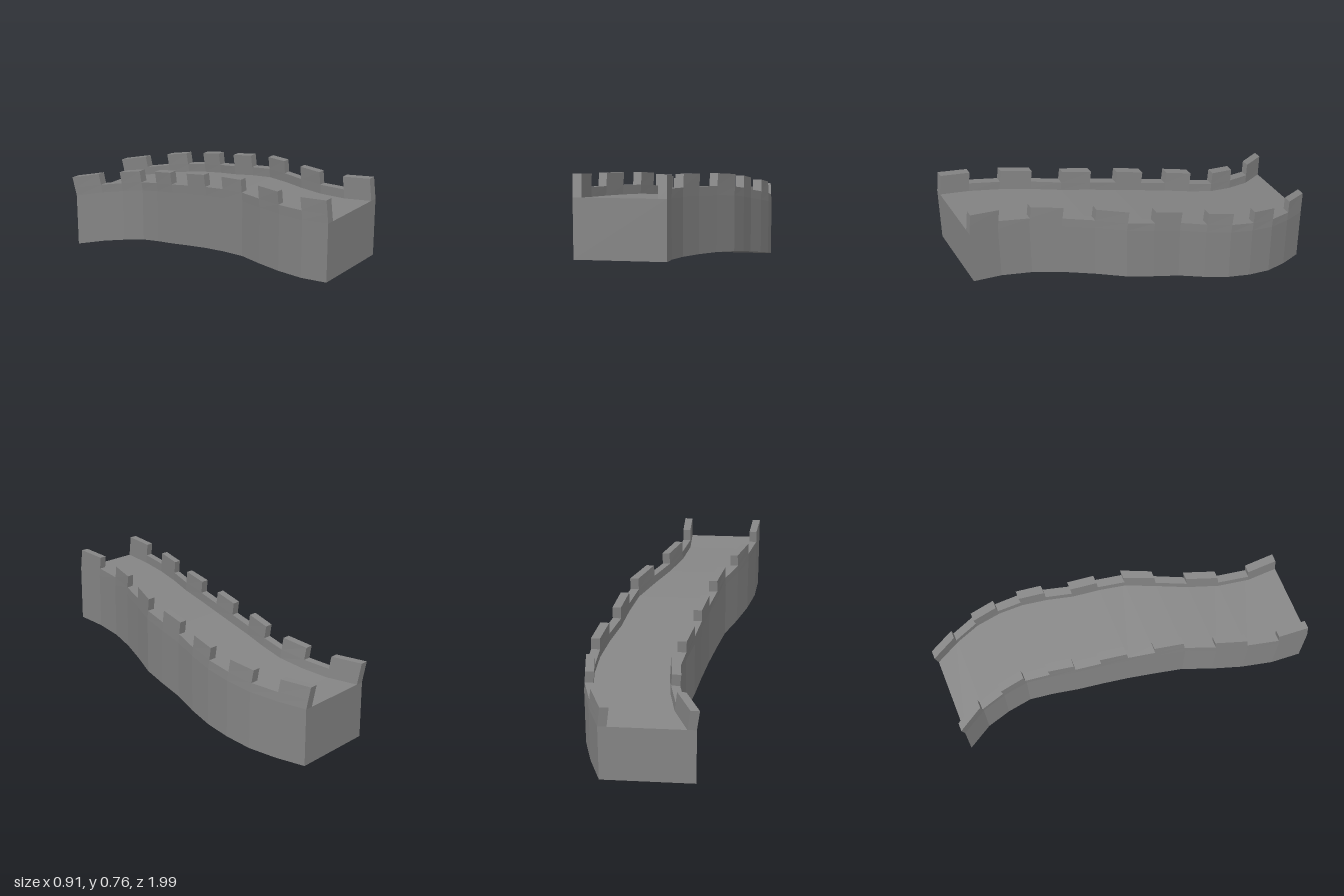
import * as THREE from 'three';

// Stations along the winding wall: [z, left edge x, right edge x, underside y]
const stations = [
  [0.995, -0.455, 0.025, 0.325], [0.83, -0.438, 0.025, 0.305], [0.66, -0.394, 0.06, 0.288],
  [0.495, -0.335, 0.125, 0.272], [0.335, -0.267, 0.205, 0.255], [0.175, -0.225, 0.288, 0.232],
  [0.025, -0.186, 0.328, 0.205], [-0.125, -0.152, 0.358, 0.175], [-0.27, -0.122, 0.408, 0.145],
  [-0.415, -0.084, 0.443, 0.115], [-0.555, -0.056, 0.453, 0.086], [-0.7, -0.07, 0.441, 0.056],
  [-0.84, -0.103, 0.397, 0.028], [-0.985, -0.182, 0.332, 0.0],
];
const FLOOR = 0.32, RAIL = 0.37, TOP = 0.44;
const THICK = 0.095; // parapet thickness as a fraction of the wall width

// Point at station i, fraction f across the width, height h above the underside.
// Above the walkway the parapet leans with the slope and into the bend.
function point(i, f, h) {
  const [z, left, right, y] = stations[i];
  const a = stations[Math.max(i - 1, 0)];
  const b = stations[Math.min(i + 1, stations.length - 1)];
  const up = Math.max(h - FLOOR, 0);
  const slant = (b[2] - a[2]) / (a[0] - b[0]);
  const roll = 0.08 * i / (stations.length - 1);
  const x = left + (right - left) * f + up * (0.12 * slant - roll);
  return [x, y + h, z - 0.12 * up];
}

// Capped loft of a four-corner section [f, h] between two stations
function loft(section, from, to) {
  const pos = [];
  const quad = (a, b, c, d) => pos.push(...a, ...b, ...c, ...a, ...c, ...d);
  const ring = i => section.map(([f, h]) => point(i, f, h));
  for (let i = from; i < to; i++) {
    const p = ring(i), q = ring(i + 1);
    for (let k = 0; k < 4; k++) {
      const n = (k + 1) % 4;
      quad(p[k], q[k], q[n], p[n]);
    }
  }
  quad(...ring(from));
  quad(...ring(to).reverse());
  const g = new THREE.BufferGeometry();
  g.setAttribute('position', new THREE.Float32BufferAttribute(pos, 3));
  g.computeVertexNormals();
  return g;
}

const box = (f0, f1, h0, h1) => [[f0, h0], [f1, h0], [f1, h1], [f0, h1]];

export function createModel() {
  const group = new THREE.Group();
  group.name = 'windingBattlementWall';
  const stone = new THREE.MeshStandardMaterial({ color: 0x848484 });
  stone.name = 'grey stone';
  const add = (name, geometry) => {
    const mesh = new THREE.Mesh(geometry, stone);
    mesh.name = name;
    group.add(mesh);
  };
  const last = stations.length - 1;

  // Solid wall with the walkway on top
  add('wallBody', loft(box(0, 1, 0, FLOOR), 0, last));

  // Low parapets with a merlon on every other segment
  for (const [side, f0, f1] of [['right', 0, THICK], ['left', 1 - THICK, 1]]) {
    add(side + 'Parapet', loft(box(f0, f1, FLOOR, RAIL), 0, last));
    for (let i = 0; i < last; i += 2) {
      add(side + 'Merlon' + (i / 2 + 1), loft(box(f0, f1, RAIL, TOP), i, i + 1));
    }
  }
  return group;
}
